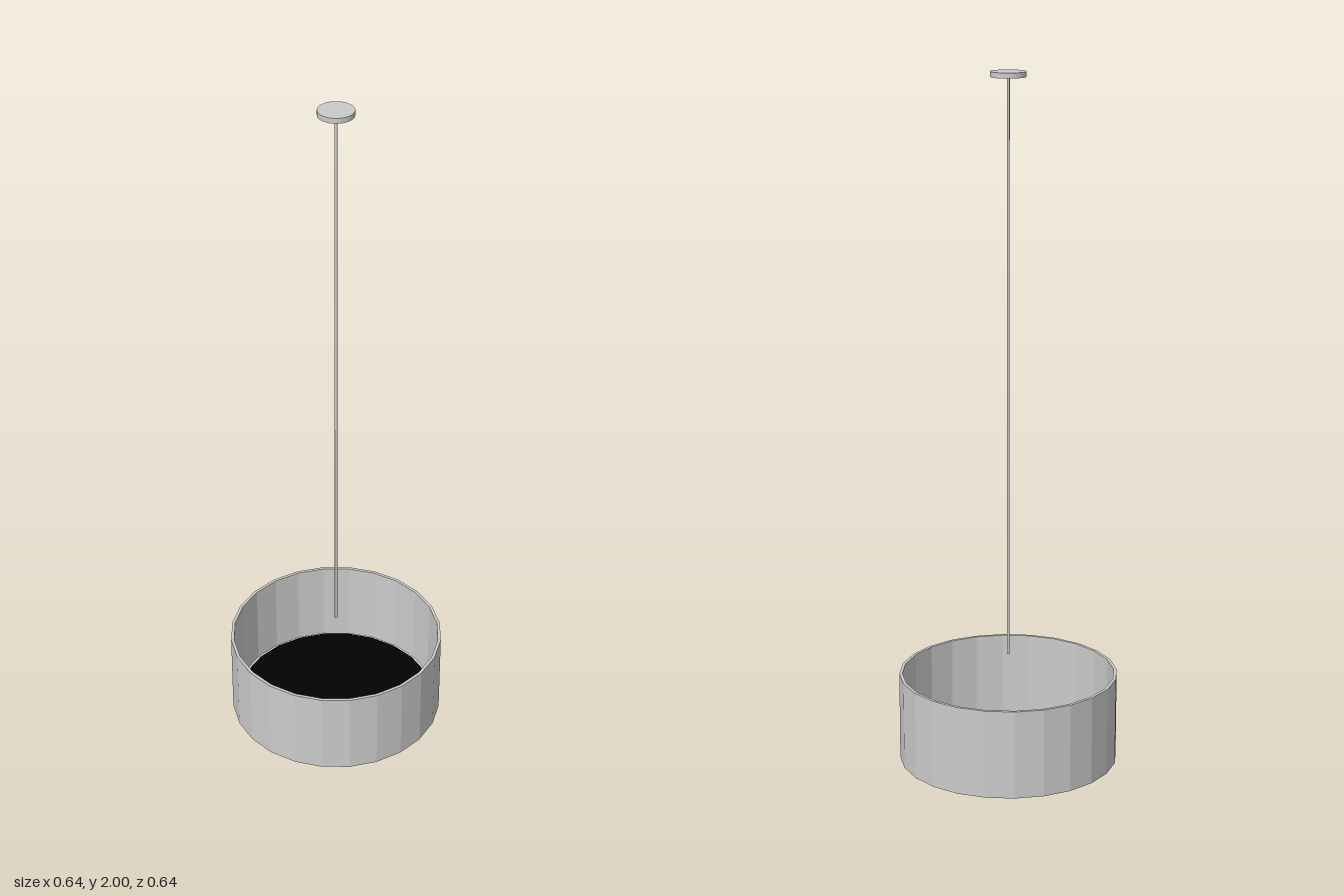
import * as THREE from 'three';

const SIDES = 24;

function add(group, name, geometry, material, y = 0) {
  const mesh = new THREE.Mesh(geometry, material);
  mesh.name = name;
  mesh.position.y = y;
  group.add(mesh);
  return mesh;
}

export function createModel() {
  const group = new THREE.Group();
  group.name = 'pendantLamp';
  const grey = new THREE.MeshStandardMaterial({ color: 0xcccccc });
  const faceted = new THREE.MeshStandardMaterial({ color: 0xcccccc, flatShading: true });
  const black = new THREE.MeshStandardMaterial({ color: 0x020202 });

  // Drum shade: a thin faceted wall, open at both ends
  const outer = 0.318, inner = 0.309, height = 0.26;
  const wall = [
    [inner, 0], [outer, 0], [outer, height], [inner, height], [inner, 0],
  ].map(([r, y]) => new THREE.Vector2(r, y));
  add(group, 'shade', new THREE.LatheGeometry(wall, SIDES), faceted);

  // Dark diffuser disc just inside the lower rim, with a narrow gap around it
  const thickness = 0.006;
  add(group, 'diffuser', new THREE.CylinderGeometry(0.3, 0.3, thickness, SIDES), black, thickness / 2);

  // Hanging cord
  const cordBottom = 0.315, cordTop = 1.99;
  add(group, 'cord', new THREE.CylinderGeometry(0.004, 0.004, cordTop - cordBottom, 12), grey, (cordTop + cordBottom) / 2);

  // Ceiling canopy
  add(group, 'canopy', new THREE.CylinderGeometry(0.05, 0.05, 0.015, 48), grey, 2 - 0.0075);

  return group;
}
